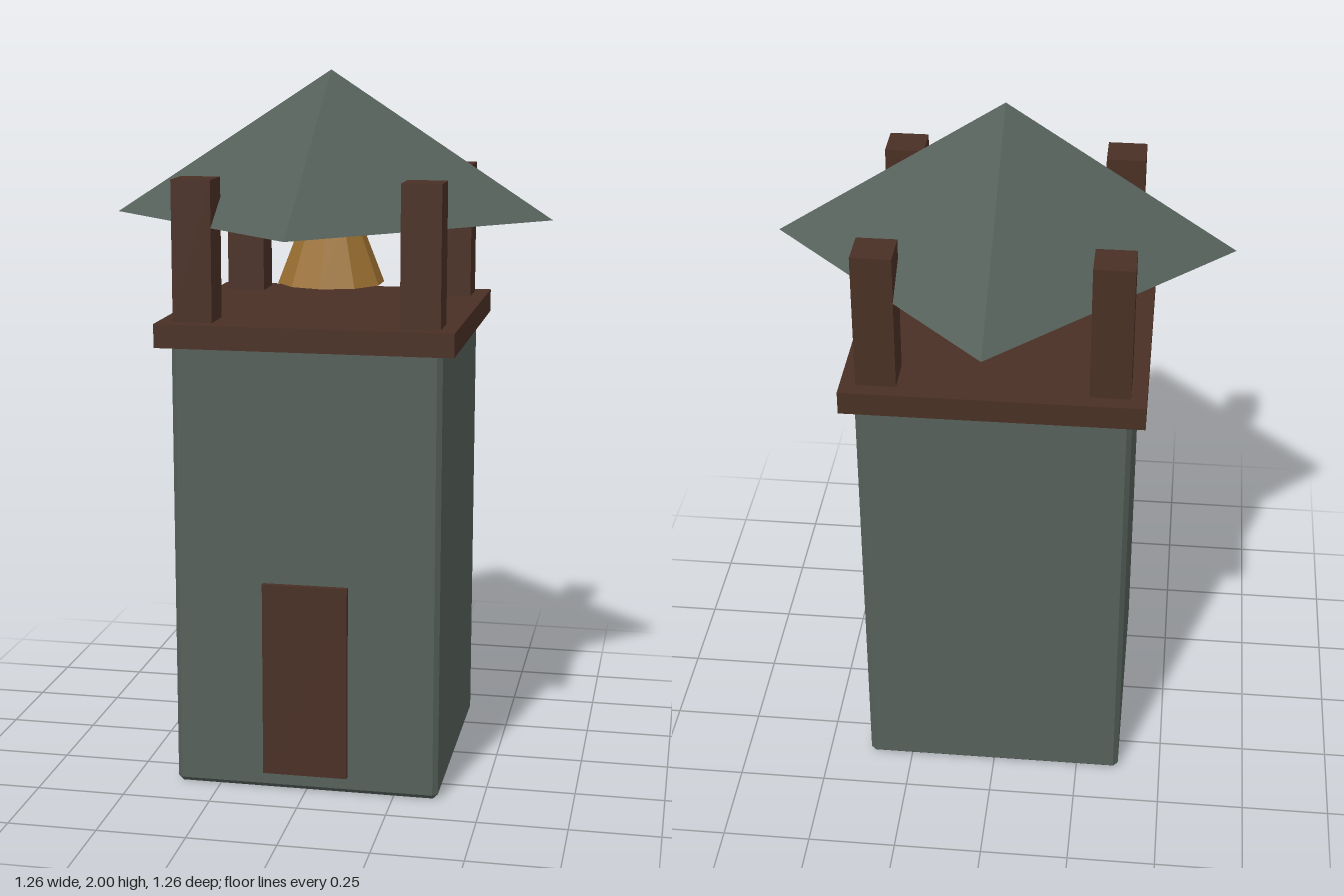
import * as THREE from 'three';
import { ConvexGeometry } from 'three/addons/geometries/ConvexGeometry.js';

const material = (name, color, flatShading = false) => {
  const m = new THREE.MeshStandardMaterial({ color, flatShading });
  m.name = name;
  return m;
};

// Box with all twelve edges cut at 45 degrees
function chamferedBox(w, h, d, c) {
  const points = [];
  for (const sx of [-1, 1]) for (const sy of [-1, 1]) for (const sz of [-1, 1]) {
    for (let axis = 0; axis < 3; axis++) {
      const cut = [c, c, c];
      cut[axis] = 0;
      points.push(new THREE.Vector3(sx * (w / 2 - cut[0]), sy * (h / 2 - cut[1]), sz * (d / 2 - cut[2])));
    }
  }
  return new ConvexGeometry(points);
}

export function createModel() {
  const model = new THREE.Group();
  model.name = 'bellTower';

  const stone = material('grey green stone', 0x55605a, true);
  const wood = material('dark brown wood', 0x4a3025, true);
  const bronze = material('bronze', 0x9a6f30, true);
  const iron = material('dark iron', 0x2b2b2b, true);

  const add = (name, geometry, mat, x, y, z) => {
    const mesh = new THREE.Mesh(geometry, mat);
    mesh.name = name;
    mesh.position.set(x, y, z);
    model.add(mesh);
    return mesh;
  };

  // Tower body and door
  add('towerBody', chamferedBox(0.75, 1.28, 0.75, 0.014), stone, 0, 0.64, 0);
  add('door', new THREE.BoxGeometry(0.24, 0.555, 0.03), wood, 0, 0.328, 0.376);

  // Belfry floor and its four corner posts
  add('belfryFloor', new THREE.BoxGeometry(0.824, 0.066, 0.824), wood, 0, 1.298, 0);
  for (const sx of [-1, 1]) for (const sz of [-1, 1]) {
    add('cornerPost', new THREE.BoxGeometry(0.11, 0.39, 0.11), wood, sx * 0.314, 1.524, sz * 0.314);
  }

  // Bell hanging from a short rod
  add('bell', new THREE.CylinderGeometry(0.083, 0.153, 0.18, 10), bronze, 0, 1.49, 0);
  add('bellRod', new THREE.CylinderGeometry(0.01, 0.01, 0.06, 8), iron, 0, 1.6, 0);

  // Four-sided roof with its corners on the axes
  add('roof', new THREE.ConeGeometry(0.63, 0.41, 4), stone, 0, 1.795, 0);

  return model;
}
